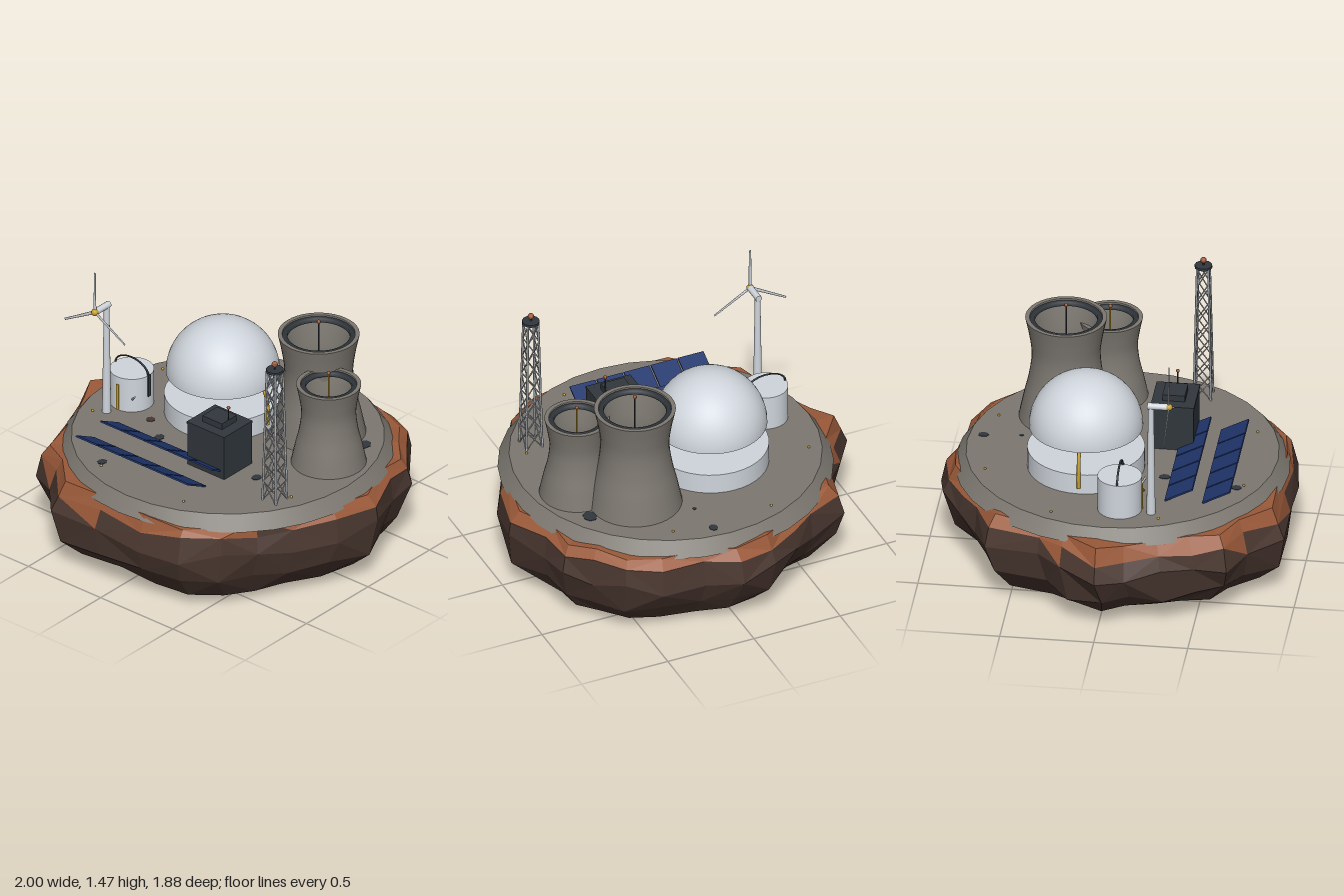
import * as THREE from 'three';

const flat = (name, color) => {
  const m = new THREE.MeshStandardMaterial({ color });
  m.name = name;
  return m;
};

export function createModel() {
  const M = {
    rock: flat('dark rock', 0x4a3730), rust: flat('rust soil', 0x9a5939),
    concrete: flat('concrete', 0x7d7871), white: flat('pale shell', 0xd0d6dd),
    slate: flat('slate', 0x31373d), blue: flat('panel blue', 0x1f356c),
    yellow: flat('safety yellow', 0xc9a22c), steel: flat('steel', 0xb6babf),
  };
  M.rock.flatShading = M.rust.flatShading = true;
  M.white.side = THREE.DoubleSide;

  const model = new THREE.Group();
  const group = (name, x = 0, y = 0, z = 0) => {
    const g = new THREE.Group();
    g.name = name;
    g.position.set(x, y, z);
    model.add(g);
    return g;
  };
  const add = (parent, name, geo, mat, x = 0, y = 0, z = 0) => {
    const mesh = new THREE.Mesh(geo, mat);
    mesh.name = name;
    mesh.position.set(x, y, z);
    parent.add(mesh);
    return mesh;
  };
  const V = (x, y, z) => new THREE.Vector3(x, y, z);
  const cyl = (top, bottom, h, n = 24) => new THREE.CylinderGeometry(top, bottom, h, n);
  const ball = (r) => new THREE.SphereGeometry(r, 12, 8);
  // Straight bar between two points
  const rod = (parent, name, a, b, r, mat, n = 6) => {
    const mesh = add(parent, name, cyl(r, r, a.distanceTo(b), n), mat);
    mesh.position.copy(a).lerp(b, 0.5);
    mesh.quaternion.setFromUnitVectors(V(0, 1, 0), b.clone().sub(a).normalize());
    return mesh;
  };
  const DECK = 0.576;

  // Floating rock: one irregular outline scaled through rings
  let seed = 7;
  const jitter = (s) => {
    seed = (seed * 16807) % 2147483647;
    return (seed / 2147483647 - 0.5) * 2 * s;
  };
  const outline = [
    [1, -0.08], [0.95, 0.18], [0.83, 0.4], [0.73, 0.58], [0.62, 0.75], [0.45, 0.9], [0.2, 0.935],
    [-0.1, 0.93], [-0.4, 0.935], [-0.56, 0.76], [-0.73, 0.67], [-0.78, 0.5], [-0.85, 0.33],
    [-0.93, 0.15], [-1, 0], [-0.87, -0.2], [-0.76, -0.33], [-0.7, -0.62], [-0.48, -0.7],
    [-0.35, -0.8], [-0.17, -0.91], [0.03, -0.945], [0.22, -0.87], [0.46, -0.86], [0.64, -0.775],
    [0.76, -0.62], [0.88, -0.5], [0.9, -0.32],
  ];
  const levels = [ // scale, height, scale jitter, height jitter, forward shift
    [0.65, 0, 0.02, 0, 0], [0.82, 0.062, 0.02, 0.015, 0.01], [0.945, 0.18, 0.025, 0.03, 0.03],
    [1, 0.35, 0, 0.035, 0], [0.972, 0.452, 0.015, 0.025, 0], [0.925, 0.518, 0.012, 0.015, 0],
  ];
  const rings = levels.map(([s, y, js, jy, dz]) => outline.map(([x, z]) => {
    const k = s + jitter(js);
    return V(x * k + (1 - k) * 0.17, y + jitter(jy), z * k + dz);
  }));
  const rockPts = [], rustPts = [];
  const face = (a, b, c) => {
    const soil = (a.y + b.y + c.y) / 3 > 0.44 + 0.02 * a.x + jitter(0.025);
    (soil ? rustPts : rockPts).push(...a, ...b, ...c);
  };
  const N = outline.length;
  for (let i = 0; i < N; i++) {
    const j = (i + 1) % N;
    for (let k = 0; k < rings.length - 1; k++) {
      const [a, b, c, d] = [rings[k][i], rings[k][j], rings[k + 1][i], rings[k + 1][j]];
      if ((i + k) % 2) { face(a, c, b); face(b, c, d); }
      else { face(a, c, d); face(a, d, b); }
    }
    face(V(0, 0, 0), rings[0][i], rings[0][j]);
    face(V(0, 0.515, 0), rings[5][j], rings[5][i]);
  }
  const island = group('island');
  for (const [name, pts, mat] of [['rockBody', rockPts, M.rock], ['soilRim', rustPts, M.rust]]) {
    const geo = new THREE.BufferGeometry();
    geo.setAttribute('position', new THREE.Float32BufferAttribute(pts, 3));
    geo.computeVertexNormals();
    add(island, name, geo, mat);
  }

  // Concrete deck with stains and edge lamps
  add(island, 'deck', cyl(0.827, 0.887, 0.08, 32), M.concrete, 0.045, DECK - 0.04, 0.018);
  for (const [x, z, r] of [[0.11, -0.73, 0.024], [0.13, -0.53, 0.01], [0.29, -0.34, 0.012],
    [0.66, -0.365, 0.038], [0.45, 0.26, 0.026], [-0.21, 0.275, 0.026], [-0.275, 0.665, 0.024]]) {
    add(island, 'stain', cyl(r, r, 0.003, 7), M.slate, x, DECK + 0.001, z).scale.z = 1.2;
  }
  add(island, 'rustStain', cyl(0.025, 0.025, 0.003, 7), M.rock, -0.365, DECK + 0.001, 0.165);
  for (let i = 0; i < 8; i++) {
    const a = (i + 0.5) * Math.PI / 4;
    add(island, 'deckLamp', ball(0.007), M.yellow,
      0.035 + 0.745 * Math.cos(a), DECK + 0.003, 0.013 + 0.745 * Math.sin(a));
  }

  // Cooling towers: hollow flared shells
  const coolingTower = (x, z, h, base, neck, top, poleTop, poleMat) => {
    const g = group('coolingTower', x, DECK, z);
    const outer = new THREE.CatmullRomCurve3([
      V(base, 0, 0), V(base * 0.89, h * 0.22, 0), V((base + neck * 4) / 5, h * 0.42, 0),
      V(neck, h * 0.64, 0), V((neck * 3 + top * 2) / 5, h * 0.83, 0), V(top, h, 0),
    ]).getPoints(20).map((p) => new THREE.Vector2(p.x, p.y));
    const inner = outer.map((p) => new THREE.Vector2(p.x - 0.023, p.y)).reverse();
    add(g, 'outerShell', new THREE.LatheGeometry(outer, 40), M.concrete);
    add(g, 'innerShell', new THREE.LatheGeometry(inner, 40), M.concrete);
    add(g, 'rim', new THREE.RingGeometry(top - 0.023, top, 40), M.concrete, 0, h, 0).rotation.x = -Math.PI / 2;
    const collar = [[-0.05, -0.03], [-0.02, -0.03], [-0.02, -0.008], [-0.05, -0.008], [-0.05, -0.03]]
      .map(([r, y]) => new THREE.Vector2(top + r, h + y));
    add(g, 'collar', new THREE.LatheGeometry(collar, 40), M.slate);
    rod(g, 'pole', V(0, 0, 0), V(0, poleTop - DECK, 0), 0.004, poleMat);
    add(g, 'beacon', ball(0.011), M.rust, 0, poleTop - DECK, 0);
  };
  coolingTower(0.381, -0.326, 0.592, 0.25, 0.182, 0.216, 1.24, M.slate);
  coolingTower(0.624, -0.122, 0.47, 0.2, 0.145, 0.172, 1.11, M.yellow);

  // Reactor: drum, raised dome and side pipes
  const reactor = group('reactor', -0.135, 0, -0.153);
  add(reactor, 'drum', cyl(0.311, 0.311, 0.115, 40), M.white, 0, 0.633, 0);
  add(reactor, 'dome', new THREE.SphereGeometry(0.302, 40, 16, 0, Math.PI * 2, 0, Math.PI / 2), M.white, 0, 0.82, 0);
  for (const s of [-1, 1]) {
    const path = new THREE.CatmullRomCurve3([V(s * 0.278, 0.825, 0), V(s * 0.298, 0.78, 0),
      V(s * 0.311, 0.69, 0), V(s * 0.31, 0.61, 0)]);
    add(reactor, 'sidePipe', new THREE.TubeGeometry(path, 12, 0.01, 8), M.yellow);
  }

  // Storage tank with hoop, ladder strips and feed pipe
  const tank = group('tank', -0.566, DECK, 0.082);
  add(tank, 'tankBody', cyl(0.118, 0.118, 0.2, 28), M.white, 0, 0.1, 0);
  add(tank, 'hoop', new THREE.TorusGeometry(0.113, 0.006, 6, 20, Math.PI), M.slate, 0, 0.197, 0).scale.y = 0.62;
  add(tank, 'sideLadder', new THREE.BoxGeometry(0.008, 0.13, 0.018), M.slate, 0.12, 0.14, 0);
  add(tank, 'frontStrip', new THREE.BoxGeometry(0.014, 0.15, 0.008), M.yellow, 0.003, 0.08, 0.118);
  rod(tank, 'feedPipe', V(0.08, 0.08, 0.09), V(0.125, 0.125, 0.122), 0.006, M.steel);

  // Wind turbine
  const turbine = group('windTurbine', -0.596, 0, 0.252);
  add(turbine, 'mast', cyl(0.015, 0.024, 0.65, 16), M.white, 0, DECK + 0.325, 0);
  rod(turbine, 'nacelle', V(0, 1.226, -0.018), V(0, 1.226, 0.085), 0.018, M.white, 14);
  add(turbine, 'hub', ball(0.02), M.yellow, 0, 1.226, 0.095);
  for (let i = 0; i < 3; i++) {
    const geo = cyl(0.006, 0.01, 0.24, 8).scale(1, 1, 0.4).translate(0, 0.12, 0);
    add(turbine, 'blade', geo, M.white, 0, 1.226, 0.095).rotation.z = i * Math.PI * 2 / 3;
  }

  // Two rows of tilted solar panels
  const solar = group('solarArray');
  for (const z of [0.382, 0.582]) {
    for (let i = 0; i < 5; i++) {
      add(solar, 'solarPanel', new THREE.BoxGeometry(0.148, 0.009, 0.165), M.blue,
        -0.392 + i * 0.157, 0.618, z).rotation.x = -0.48;
    }
  }

  // Control building
  const hall = group('controlBuilding', 0.208, DECK, 0.277);
  add(hall, 'walls', new THREE.BoxGeometry(0.255, 0.25, 0.225), M.slate, 0, 0.125, 0);
  add(hall, 'roofSlab', new THREE.BoxGeometry(0.26, 0.012, 0.232), M.slate, 0, 0.254, 0);
  add(hall, 'roofUnit', new THREE.BoxGeometry(0.135, 0.04, 0.12), M.slate, 0, 0.275, 0);
  rod(hall, 'antenna', V(0.066, 0.25, 0.005), V(0.066, 0.37, 0.005), 0.004, M.slate);
  add(hall, 'antennaBeacon', ball(0.01), M.rust, 0.066, 0.37, 0.005);

  // Lattice mast: four legs with crossed braces
  const lattice = group('latticeMast', 0.667, DECK, 0.367);
  const H = 0.785, levelsUp = 7;
  const corner = (i, t) => {
    const w = 0.046 - 0.016 * t, a = (i + 0.5) * Math.PI / 2;
    return V(w * Math.SQRT2 * Math.cos(a), H * t, w * Math.SQRT2 * Math.sin(a));
  };
  for (let i = 0; i < 4; i++) {
    rod(lattice, 'leg', corner(i, 0), corner(i, 1), 0.006, M.steel);
    for (let k = 0; k < levelsUp; k++) {
      const t = k / levelsUp, u = (k + 1) / levelsUp;
      rod(lattice, 'brace', corner(i, t), corner(i + 1, u), 0.0035, M.steel, 5);
      rod(lattice, 'brace', corner(i + 1, t), corner(i, u), 0.0035, M.steel, 5);
    }
  }
  add(lattice, 'platform', cyl(0.047, 0.047, 0.014, 12), M.slate, 0, H + 0.004, 0);
  add(lattice, 'mastBeacon', ball(0.017), M.rust, 0, H + 0.04, 0);
  rod(lattice, 'beaconStem', V(0, H, 0), V(0, H + 0.04, 0), 0.005, M.slate);

  return model;
}
